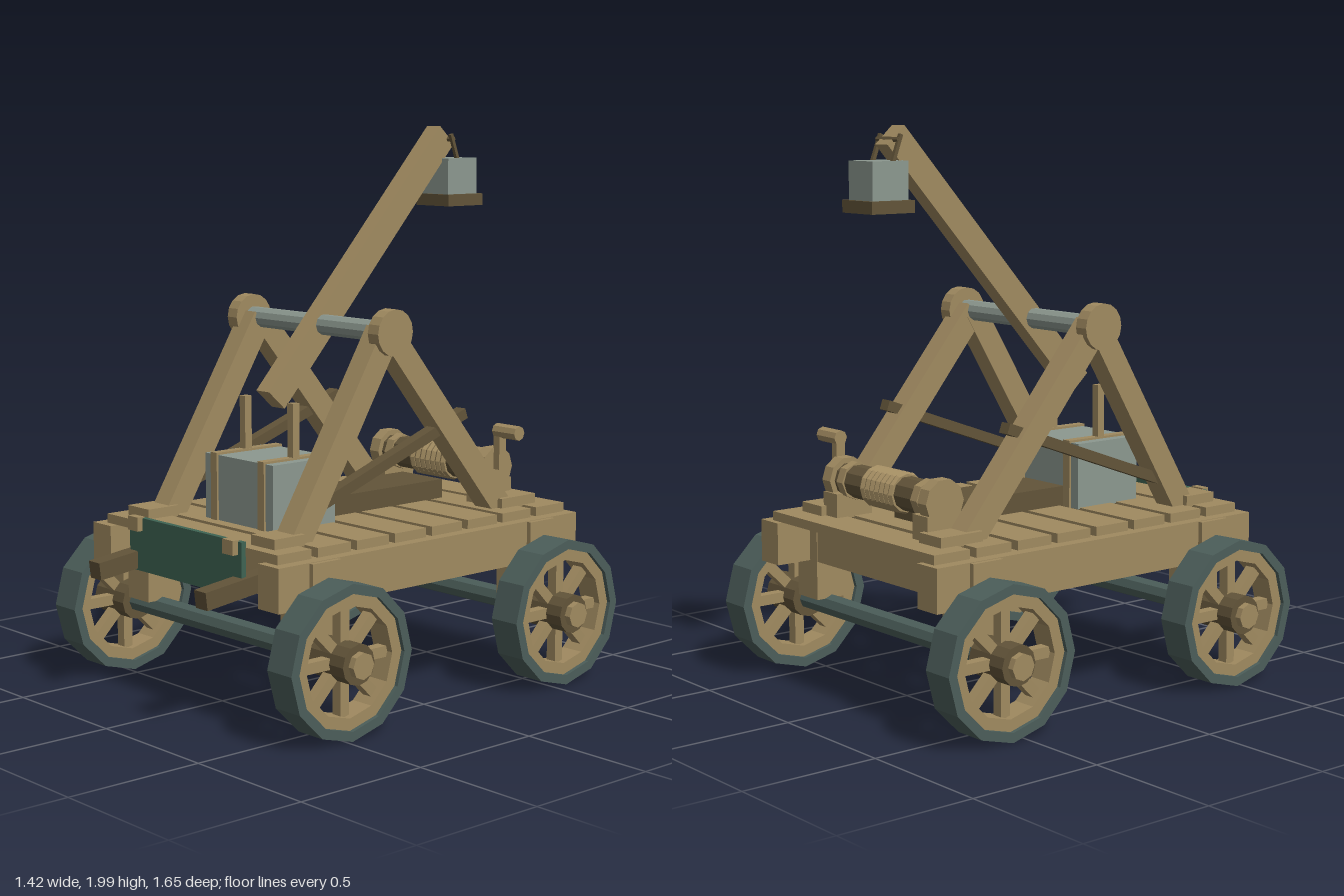
import * as THREE from 'three';

const mat = (name, color) => {
  const m = new THREE.MeshStandardMaterial({ color, flatShading: true });
  m.name = name;
  return m;
};

export function createModel() {
  const wood = mat('wood', 0xa08a60);
  const darkWood = mat('darkWood', 0x625439);
  const stone = mat('stone', 0x8c988f);
  const iron = mat('iron', 0x4c5e5a);
  const green = mat('greenBoard', 0x3f6453);
  const model = new THREE.Group();
  model.name = 'siegeEngine';

  const add = (name, geo, m, x = 0, y = 0, z = 0, parent = model) => {
    const mesh = new THREE.Mesh(geo, m);
    mesh.name = name;
    mesh.position.set(x, y, z);
    parent.add(mesh);
    return mesh;
  };
  // box given by its extents
  const box = (name, m, x0, x1, y0, y1, z0, z1) =>
    add(name, new THREE.BoxGeometry(x1 - x0, y1 - y0, z1 - z0), m,
      (x0 + x1) / 2, (y0 + y1) / 2, (z0 + z1) / 2);
  // the same box on both sides
  const pair = (name, m, x0, x1, ...r) => {
    box(name, m, x0, x1, ...r);
    box(name, m, -x1, -x0, ...r);
  };
  // beam in the side plane from (y0, z0) to (y1, z1)
  const beam = (name, m, x, width, thick, y0, z0, y1, z1) => {
    const len = Math.hypot(y1 - y0, z1 - z0);
    const b = add(name, new THREE.BoxGeometry(width, len, thick), m, x, (y0 + y1) / 2, (z0 + z1) / 2);
    b.rotation.x = Math.atan2(z1 - z0, y1 - y0);
  };
  // rod along x
  const rod = (name, m, r, x0, x1, y, z, sides = 8, parent = model) =>
    add(name, new THREE.CylinderGeometry(r, r, x1 - x0, sides).rotateZ(-Math.PI / 2), m,
      (x0 + x1) / 2, y, z, parent);
  // square-section ring around the x axis
  const ring = (ri, ro, h, sides) => new THREE.LatheGeometry(
    [[ri, -h], [ro, -h], [ro, h], [ri, h], [ri, -h]].map(p => new THREE.Vector2(...p)), sides
  ).rotateZ(-Math.PI / 2);

  // deck and chassis
  for (let i = 0; i < 8; i++) {
    const z = -0.664 + i * 0.1763;
    box('deckPlank', wood, -0.472, 0.472, 0.592, 0.625, z - 0.074, z + 0.074);
  }
  pair('sideRail', wood, 0.41, 0.515, 0.44, 0.592, -0.76, 0.675);

  // axles, brackets and wheels
  const tyreGeo = ring(0.232, 0.266, 0.06, 12);
  const rimGeo = ring(0.19, 0.234, 0.045, 12);
  const axleY = 0.272;
  for (const z of [0.48, -0.56]) {
    rod('axle', iron, 0.04, -0.53, 0.53, axleY, z);
    box('crossBeam', wood, -0.41, 0.41, 0.44, 0.59, z - 0.06, z + 0.06);
    pair('axleBracket', wood, 0.367, 0.487, 0.3, 0.59, z - 0.063, z + 0.063);
    pair('bracketPlate', wood, 0.5, 0.533, 0.44, 0.59, z - 0.063, z + 0.063);
    for (const s of [1, -1]) {
      const wheel = new THREE.Group();
      wheel.name = 'wheel';
      wheel.position.set(s * 0.6, axleY, z);
      if (s < 0) wheel.rotation.y = Math.PI;
      add('tyre', tyreGeo, iron, 0, 0, 0, wheel);
      add('rim', rimGeo, wood, 0, 0, 0, wheel);
      for (let k = 0; k < 4; k++) {
        const spoke = add('spokes', new THREE.BoxGeometry(0.04, 0.4, 0.038), wood, 0, 0, 0, wheel);
        spoke.rotation.x = k * Math.PI / 4;
      }
      rod('hub', darkWood, 0.07, -0.085, 0.088, 0, 0, 12, wheel);
      rod('hubCap', wood, 0.046, 0.08, 0.112, 0, 0, 8, wheel);
      model.add(wheel);
    }
  }

  // front board with clasps and pull handles
  box('frontBoard', green, -0.31, 0.31, 0.455, 0.645, 0.643, 0.663);
  pair('boardClasp', wood, 0.235, 0.292, 0.6, 0.65, 0.655, 0.685);
  for (const x of [-0.297, 0.297]) {
    beam('pullHandle', darkWood, x, 0.062, 0.062, 0.472, 0.825, 0.512, 0.5);
  }

  // A-frames with feet, braces and pivot
  const py = 1.305, pz = 0.055;
  pair('frontFoot', wood, 0.285, 0.405, 0.62, 0.66, 0.465, 0.6);
  pair('rearFoot', wood, 0.285, 0.405, 0.62, 0.66, -0.657, -0.48);
  for (const s of [1, -1]) {
    beam('frontLeg', wood, s * 0.343, 0.085, 0.09, 0.62, 0.47, py, pz);
    beam('rearLeg', wood, s * 0.343, 0.083, 0.09, 0.62, -0.51, py, pz);
    beam('brace', darkWood, s * 0.342, 0.045, 0.038, 0.73, 0.37, 0.985, -0.335);
    rod('pivotDisc', wood, 0.082, s * 0.38 - 0.026, s * 0.38 + 0.026, py, pz, 16);
  }
  rod('pivotBar', stone, 0.037, -0.37, 0.37, py, pz, 10);

  // throwing arm and hanging load
  beam('throwingArm', wood, 0, 0.07, 0.096, 1.053, 0.274, 1.965, -0.553);
  rod('hangerPin', darkWood, 0.01, -0.062, 0.062, 1.95, -0.56, 6);
  box('loadTray', darkWood, -0.085, 0.085, 1.705, 1.748, -0.692, -0.513);
  box('loadStone', stone, -0.068, 0.068, 1.748, 1.88, -0.676, -0.527);
  for (const x of [-0.057, 0.057]) {
    beam('hanger', darkWood, x, 0.013, 0.013, 1.968, -0.55, 1.86, -0.59);
  }

  // counterweight with straps and uprights
  box('counterweight', stone, -0.185, 0.185, 0.62, 0.858, 0.135, 0.42);
  pair('strap', wood, 0.112, 0.146, 0.62, 0.866, 0.127, 0.428);
  pair('strapUpright', wood, 0.115, 0.145, 0.86, 1.055, 0.265, 0.295);

  // slide along the deck
  box('slide', darkWood, -0.106, 0.106, 0.62, 0.695, -0.47, 0.14);

  // winch with rope and crank
  const wy = 0.752, wz = -0.56;
  rod('winchDrum', darkWood, 0.06, -0.27, 0.27, wy, wz, 10);
  for (let i = -3; i <= 3; i++) {
    add('ropeCoil', new THREE.TorusGeometry(0.06, 0.014, 6, 12).rotateY(Math.PI / 2), wood, i * 0.027, wy, wz);
  }
  for (const s of [1, -1]) {
    rod('winchBearing', wood, 0.08, s * 0.278 - 0.024, s * 0.278 + 0.024, wy, wz, 10);
    rod('drumCollar', wood, 0.068, s * 0.215 - 0.018, s * 0.215 + 0.018, wy, wz, 8);
  }
  pair('bearingBlock', wood, 0.22, 0.302, 0.62, 0.71, -0.635, -0.485);
  box('crankArm', wood, 0.3, 0.33, 0.75, 0.895, wz - 0.018, wz + 0.018);
  rod('crankHandle', wood, 0.027, 0.3, 0.412, 0.893, wz, 8);

  return model;
}
